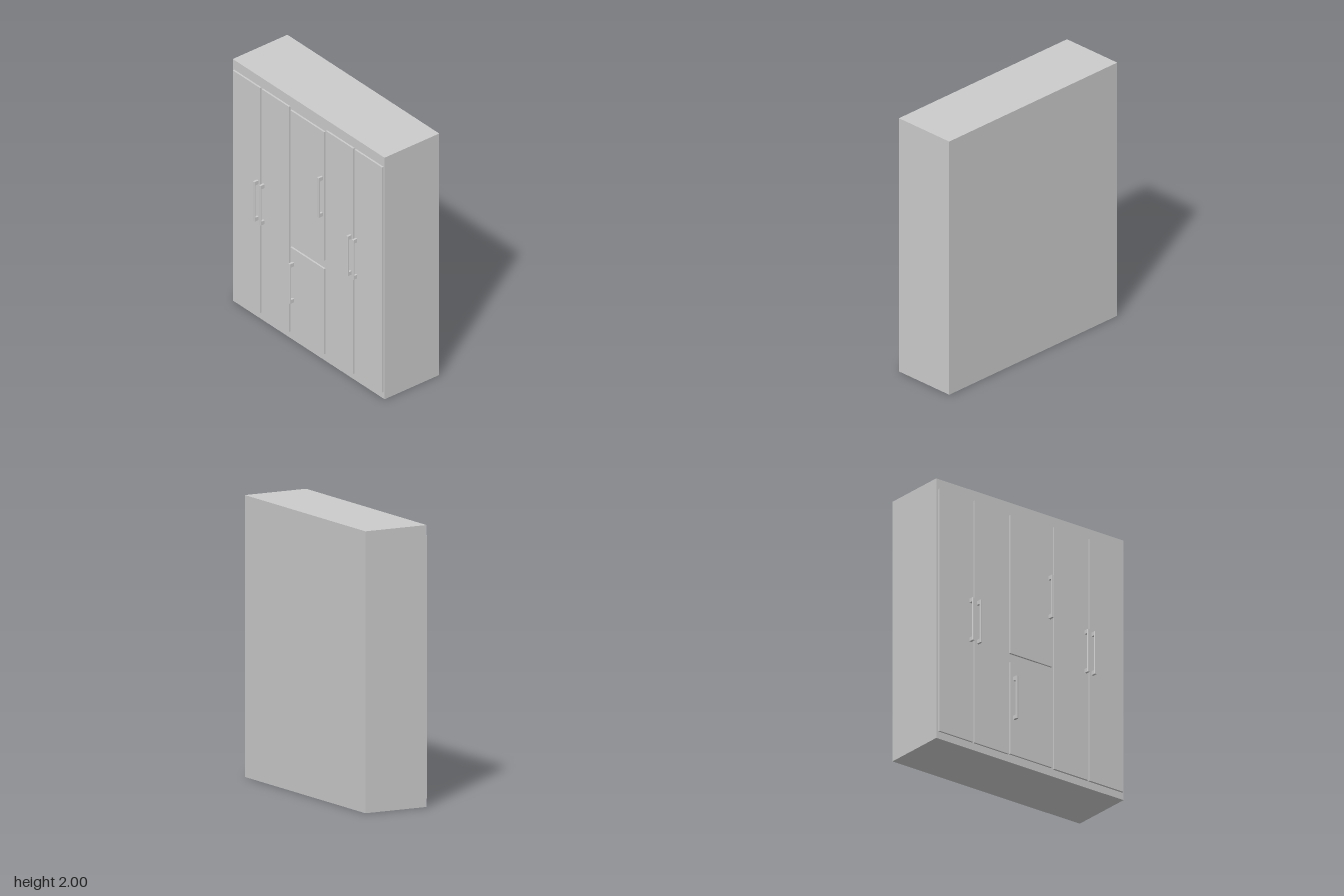
import * as THREE from 'three';

const material = new THREE.MeshStandardMaterial({ color: 0xcccccc, flatShading: true });

// Box given by its lower and upper limits on each axis
function block(name, [x0, x1], [y0, y1], [z0, z1]) {
  const mesh = new THREE.Mesh(new THREE.BoxGeometry(x1 - x0, y1 - y0, z1 - z0), material);
  mesh.name = name;
  mesh.position.set((x0 + x1) / 2, (y0 + y1) / 2, (z0 + z1) / 2);
  return mesh;
}

// Grip bar with softened front edges, standing on two posts
function handle(name, x, y0, back) {
  const group = new THREE.Group();
  group.name = name;
  const length = 0.328, w = 0.0085, front = 0.273, mid = 0.262, c = 0.004;
  const section = new THREE.Shape();
  section.moveTo(-w, -mid);
  section.lineTo(-w, -front + c);
  section.quadraticCurveTo(-w, -front, -w + c, -front);
  section.lineTo(w - c, -front);
  section.quadraticCurveTo(w, -front, w, -front + c);
  section.lineTo(w, -mid);
  section.closePath();
  const geometry = new THREE.ExtrudeGeometry(section, { depth: length, bevelEnabled: false, curveSegments: 3 });
  geometry.rotateX(-Math.PI / 2);
  const bar = new THREE.Mesh(geometry, material);
  bar.name = 'handleBar';
  bar.position.set(x, y0, 0);
  group.add(bar);
  for (const y of [y0, y0 + length - 0.03]) {
    group.add(block('handlePost', [x - w, x + w], [y, y + 0.03], [back, mid]));
  }
  return group;
}

export function createModel() {
  const model = new THREE.Group();
  model.name = 'wardrobe';

  // Closed carcass
  model.add(block('cabinetBody', [-0.832, 0.832], [0, 2], [-0.274, 0.221]));

  // Door panels
  const doors = [
    ['outerRightDoor', [-0.815, -0.517], [0.055, 1.92]],
    ['innerRightDoor', [-0.502, -0.2], [0.055, 1.92]],
    ['upperMiddleDoor', [-0.185, 0.185], [0.835, 1.9]],
    ['lowerMiddleDoor', [-0.185, 0.185], [0.06, 0.767]],
    ['innerLeftDoor', [0.205, 0.505], [0.055, 1.92]],
    ['outerLeftDoor', [0.52, 0.82], [0.055, 1.92]],
  ];
  for (const [name, xs, ys] of doors) model.add(block(name, xs, ys, [0.22, 0.235]));

  // Handles: name, x, bottom, back of the posts
  const handles = [
    ['outerRightHandle', -0.54, 0.82, 0.234],
    ['innerRightHandle', -0.474, 0.82, 0.234],
    ['upperMiddleHandle', 0.163, 1.197, 0.234],
    ['lowerMiddleHandle', -0.151, 0.33, 0.234],
    ['innerLeftHandle', 0.482, 0.871, 0.238],
    ['outerLeftHandle', 0.544, 0.871, 0.238],
  ];
  for (const spec of handles) model.add(handle(...spec));

  return model;
}
